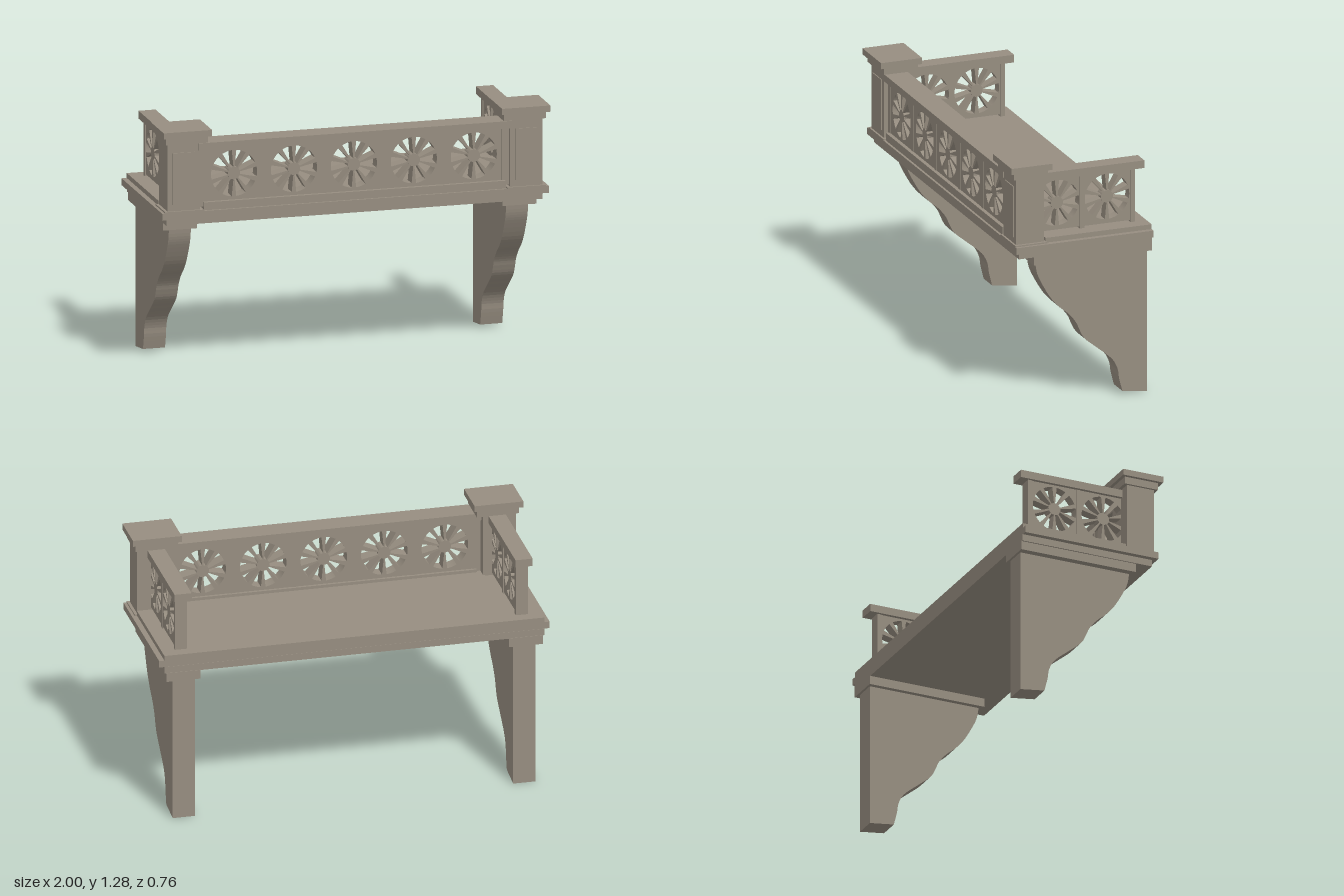
import * as THREE from 'three';

const stone = new THREE.MeshStandardMaterial({ color: 0x968d80 });
stone.name = 'warm grey stone';

// Box given by its extents
function block(name, [x0, x1], [y0, y1], [z0, z1]) {
  const mesh = new THREE.Mesh(new THREE.BoxGeometry(x1 - x0, y1 - y0, z1 - z0), stone);
  mesh.position.set((x0 + x1) / 2, (y0 + y1) / 2, (z0 + z1) / 2);
  mesh.name = name;
  return mesh;
}

// Panel in the XY plane, pierced by a row of ten-slot rosettes
function piercedPanel(name, x0, x1, y0, y1, depth, centres) {
  const shape = new THREE.Shape();
  shape.moveTo(x0, y0).lineTo(x1, y0).lineTo(x1, y1).lineTo(x0, y1).closePath();
  const cy = 1.04, outer = 0.119, inner = 0.032, half = 0.215, slots = 10;
  for (const cx of centres) {
    for (let i = 0; i < slots; i++) {
      const a = (i / slots) * Math.PI * 2;
      const slot = new THREE.Path();
      slot.absarc(cx, cy, outer, a - half, a + half, false);
      slot.absarc(cx, cy, inner, a + half, a - half, true);
      slot.closePath();
      shape.holes.push(slot);
    }
  }
  const geo = new THREE.ExtrudeGeometry(shape, { depth, bevelEnabled: false, curveSegments: 4 });
  geo.translate(0, 0, -depth / 2);
  const mesh = new THREE.Mesh(geo, stone);
  mesh.name = name;
  return mesh;
}

// Scrolled bracket: side outline (z, y) extruded across x
function bracket() {
  const curve = new THREE.SplineCurve([
    [-0.238, 0.018], [-0.22, 0.09], [-0.212, 0.14], [-0.18, 0.197], [-0.1, 0.265],
    [-0.036, 0.32], [-0.008, 0.37], [0.01, 0.41], [0.05, 0.46], [0.1, 0.503],
    [0.15, 0.562], [0.2, 0.65], [0.22, 0.7], [0.228, 0.75],
  ].map(([z, y]) => new THREE.Vector2(z, y)));
  const shape = new THREE.Shape([
    new THREE.Vector2(-0.37, 0.75), new THREE.Vector2(-0.37, 0), ...curve.getPoints(44),
  ]);
  const geo = new THREE.ExtrudeGeometry(shape, { depth: 0.114, bevelEnabled: false });
  geo.rotateY(-Math.PI / 2);
  const mesh = new THREE.Mesh(geo, stone);
  mesh.name = 'bracket';
  return mesh;
}

// Everything that stands at one end of the balcony, centred on the given side
function createEnd(side) {
  const end = new THREE.Group();
  end.name = side > 0 ? 'leftEnd' : 'rightEnd';
  const x = (a, b) => (side > 0 ? [a, b] : [-b, -a]);

  // Bracket and its capital
  const support = bracket();
  support.position.x = side > 0 ? 0.929 : -0.815;
  end.add(support);
  end.add(block('bracketCapital', x(0.79, 0.965), [0.75, 0.797], [-0.382, 0.25]));

  // Corner post with stepped cap
  end.add(block('postBase', x(0.785, 0.985), [0.86, 0.872], [0.185, 0.357]));
  end.add(block('post', x(0.802, 0.97), [0.865, 1.218], [0.197, 0.347]));
  end.add(block('postFacePlate', x(0.828, 0.944), [0.905, 1.17], [0.345, 0.352]));
  end.add(block('postCapLower', x(0.765, 0.982), [1.216, 1.255], [0.18, 0.362]));
  end.add(block('postCapUpper', x(0.75, 1), [1.253, 1.285], [0.163, 0.383]));

  // Side railing
  const panel = piercedPanel('sidePanel', -0.22, 0.302, 0.9, 1.172, 0.052, [-0.1, 0.168]);
  panel.rotation.y = Math.PI / 2;
  panel.position.x = side * 0.873;
  end.add(panel);
  end.add(block('sideDivider', x(0.844, 0.902), [0.888, 1.172], [-0.047, -0.021]));
  end.add(block('railEndPost', x(0.842, 0.904), [0.888, 1.172], [-0.316, -0.292]));
  end.add(block('sideHandrail', x(0.829, 0.917), [1.17, 1.21], [-0.361, 0.21]));
  return end;
}

export function createModel() {
  const model = new THREE.Group();
  model.name = 'balcony';

  // Stepped floor slab
  model.add(block('slabLower', [-0.972, 0.972], [0.795, 0.83], [-0.379, 0.333]));
  model.add(block('slabMiddle', [-1, 1], [0.83, 0.865], [-0.377, 0.357]));
  model.add(block('slabUpper', [-0.973, 0.973], [0.865, 0.89], [-0.377, 0.19]));
  model.add(block('slabUpperFront', [-0.81, 0.81], [0.865, 0.89], [0.19, 0.3]));

  // Front railing
  const pitch = 0.31;
  const panel = piercedPanel('frontPanel', -0.81, 0.81, 0.88, 1.178, 0.07,
    [-2, -1, 0, 1, 2].map((i) => i * pitch));
  panel.position.z = 0.29;
  model.add(panel);
  for (const i of [-2.5, -1.5, -0.5, 0.5, 1.5, 2.5]) {
    const c = i * pitch;
    model.add(block('frontDivider', [c - 0.013, c + 0.013], [0.88, 1.178], [0.252, 0.328]));
  }
  model.add(block('frontSill', [-0.78, 0.78], [0.865, 0.905], [0.24, 0.345]));
  model.add(block('frontHandrail', [-0.81, 0.81], [1.175, 1.212], [0.23, 0.353]));

  for (const side of [-1, 1]) model.add(createEnd(side));
  return model;
}
